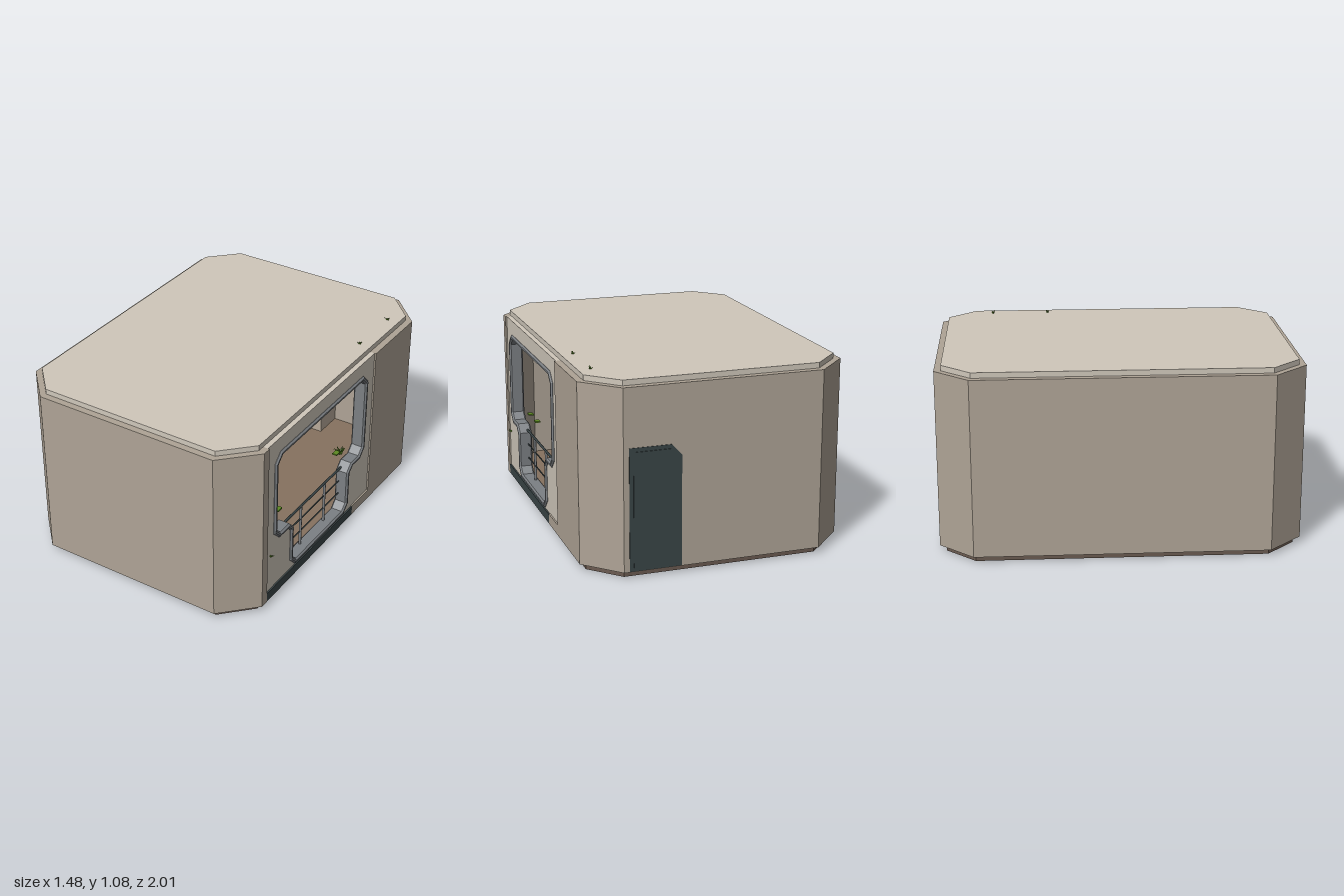
import * as THREE from 'three';
import { RoundedBoxGeometry } from 'three/addons/geometries/RoundedBoxGeometry.js';

const mat = (name, color, side = THREE.FrontSide) => {
  const m = new THREE.MeshStandardMaterial({ color, side });
  m.name = name;
  return m;
};

export function createModel() {
  const M = {
    wall: mat('wall taupe', 0xafa496),
    pale: mat('pale panel', 0xd0c8bb),
    base: mat('base brown', 0x6a5a50),
    frame: mat('frame grey', 0x7c8084),
    dark: mat('dark slate', 0x3a4547),
    floor: mat('floor brown', 0x86725f),
    cloth: mat('cloth beige', 0xb9ab9b),
    leaf: mat('leaf green', 0x5d8a22, THREE.DoubleSide),
    vine: mat('vine green', 0x47600f, THREE.DoubleSide),
  };
  const root = new THREE.Group();
  const add = (name, geo, m, parent = root) => {
    const mesh = new THREE.Mesh(geo, m);
    mesh.name = name;
    parent.add(mesh);
    return mesh;
  };
  const group = (name) => {
    const g = new THREE.Group();
    g.name = name;
    root.add(g);
    return g;
  };
  // Box from its limits: x, y, z pairs
  const box = (name, m, [x0, x1], [y0, y1], [z0, z1], parent, r = 0) => {
    const s = [x1 - x0, y1 - y0, z1 - z0];
    const geo = r ? new RoundedBoxGeometry(...s, 2, r) : new THREE.BoxGeometry(...s);
    geo.translate((x0 + x1) / 2, (y0 + y1) / 2, (z0 + z1) / 2);
    return add(name, geo, m, parent);
  };
  const cyl = (name, m, r0, r1, x, y0, y1, z, parent, n = 12) =>
    add(name, new THREE.CylinderGeometry(r1, r0, y1 - y0, n).translate(x, (y0 + y1) / 2, z), m, parent);
  const bar = (name, m, a, b, r, parent) =>
    add(name, new THREE.TubeGeometry(new THREE.LineCurve3(new THREE.Vector3(...a), new THREE.Vector3(...b)), 1, r, 6), m, parent);
  const shape = (pts) => new THREE.Shape(pts.map((p) => new THREE.Vector2(...p)));
  // Upright prism from a plan outline of [x, z]
  const prism = (name, m, pts, y0, y1) => {
    const g = new THREE.ExtrudeGeometry(shape(pts.map(([x, z]) => [x, -z])), { depth: y1 - y0, bevelEnabled: false });
    return add(name, g.rotateX(-Math.PI / 2).translate(0, y0, 0), m);
  };
  // Sideways prism from an elevation outline of [z, y], with one hole
  const sidePrism = (name, m, pts, hole, x0, x1, bevel = 0) => {
    const flip = (list) => list.map(([z, y]) => [-z, y]);
    const s = shape(flip(pts));
    s.holes.push(shape(flip(hole)));
    const g = new THREE.ExtrudeGeometry(s, {
      depth: x1 - x0, bevelEnabled: bevel > 0, bevelThickness: bevel, bevelSize: bevel, bevelOffset: -bevel, bevelSegments: 1,
    });
    return add(name, g.rotateY(Math.PI / 2).translate(x0, 0, 0), m);
  };
  const octagon = (d, cx, cz) => {
    const a = 0.725 - d, b = -0.745 + d, z = 1 - d;
    return [[a, cz], [cx, z], [cx - 0.02 - 2 * (cx - 0), z], [b, cz], [b, -cz], [-cx - 0.02, -z], [cx, -z], [a, -cz]];
  };

  // Outer shell
  prism('base', M.base, octagon(0.036, 0.53, 0.8), 0, 0.037);
  prism('floor', M.floor, octagon(0.06, 0.51, 0.79), 0.037, 0.1);
  prism('ceiling', M.wall, octagon(0.06, 0.51, 0.79), 0.96, 1.029);
  prism('roof', M.pale, octagon(0.038, 0.53, 0.8), 1.029, 1.06);
  const ring = (d, cx, cz) => [
    [0.725 - d, 0.76], [0.725 - d, cz], [cx, 1 - d], [-cx - 0.02, 1 - d], [-0.745 + d, cz],
    [-0.745 + d, -cz], [-cx - 0.02, -1 + d], [cx, -1 + d], [0.725 - d, -cz], [0.725 - d, -0.37]];
  prism('outerWall', M.wall, [...ring(0, 0.54, 0.81), ...ring(0.055, 0.515, 0.79).reverse()], 0.036, 1.03);

  // Stepped window opening; d shrinks it inwards
  const opening = (d) => {
    const l = 0.69 - d, r = -0.3 + d, t = 0.945 - d, m = 0.39 + d;
    const ll = 0.515 - d, lr = -0.13 + d, b = 0.098 + d;
    const c = 0.055 - 0.59 * d, k = 0.03 + 0.59 * d;
    return [
      [l - c, t], [l, t - c], [l, m + c], [l - c, m], [ll + k, m], [ll, m - k], [ll, b + c], [ll - c, b],
      [lr + c, b], [lr, b + c], [lr, m - k], [lr - k, m], [r + c, m], [r, m + c], [r, t - c], [r + c, t]];
  };
  sidePrism('windowPanel', M.pale, [[0.76, 0.037], [0.76, 1.03], [-0.37, 1.03], [-0.37, 0.037]], opening(0.012), 0.665, 0.716);
  sidePrism('windowFrame', M.frame, opening(0), opening(0.028), 0.655, 0.718, 0.009);
  box('darkSill', M.dark, [0.68, 0.725], [0.037, 0.092], [-0.18, 0.76]);
  box('sillBlock', M.wall, [0.68, 0.725], [0.037, 0.096], [-0.37, -0.18]);

  // Rear door
  const door = (name, m, d, z) => {
    const g = new THREE.ExtrudeGeometry(
      shape([[0.51 - d, 0.04 + d], [0.51 - d, 0.71 - d], [0.28, 0.71 - d], [0.225 + d, 0.65 - d / 2], [0.225 + d, 0.04 + d]]),
      { depth: 0.02, bevelEnabled: false });
    add(name, g.translate(0, 0, z), m);
  };
  door('doorFrame', M.dark, 0, -1.003);
  door('doorLeaf', M.dark, 0.022, -1.007);

  // Railing across the low part of the opening
  const railing = group('railing');
  for (const [y, r] of [[0.385, 0.007], [0.3, 0.004], [0.215, 0.004]])
    bar('rail', M.dark, [0.67, y, 0.5], [0.67, y, -0.12], r, railing);
  for (const z of [0.325, 0.065]) cyl('railPost', M.frame, 0.008, 0.008, 0.67, 0.1, 0.385, z, railing, 8);

  // Ceiling seams and lamp
  for (const z of [-0.6, -0.3, 0, 0.3, 0.6]) box('ceilingSeam', M.dark, [-0.68, 0.66], [0.957, 0.961], [z - 0.003, z + 0.003]);
  for (const x of [-0.4, -0.1, 0.2, 0.5]) box('ceilingSeam', M.dark, [x - 0.003, x + 0.003], [0.957, 0.961], [-0.93, 0.93]);
  box('ceilingLampRim', M.dark, [0.1, 0.22], [0.952, 0.96], [0.05, 0.25]);
  box('ceilingLamp', M.pale, [0.115, 0.205], [0.949, 0.955], [0.065, 0.235]);

  // Wall shelves with storage boxes and books
  const shelves = group('shelves');
  for (const y of [0.41, 0.56, 0.71, 0.86]) box('shelf', M.wall, [-0.69, -0.54], [y - 0.008, y], [-0.02, 0.31], shelves);
  for (const z of [-0.025, 0.31]) box('shelfSide', M.wall, [-0.69, -0.54], [0.4, 0.86], [z - 0.004, z + 0.004], shelves);
  for (const [y, z] of [[0.71, 0.235], [0.71, 0.13], [0.41, 0.228], [0.41, 0.118]]) {
    box('storageBox', M.cloth, [-0.67, -0.53], [y, y + 0.063], [z - 0.047, z + 0.047], shelves);
    box('boxHandle', M.dark, [-0.53, -0.525], [y + 0.042, y + 0.052], [z - 0.016, z + 0.016], shelves);
  }
  for (let i = 0; i < 4; i++)
    box('book', i % 2 ? M.pale : M.frame, [-0.67, -0.56], [0.41, 0.53 - (i % 2) * 0.012], [0.07 + i * 0.024, 0.09 + i * 0.024], shelves);
  box('bookBox', M.frame, [-0.67, -0.58], [0.46, 0.53], [0, 0.06], shelves);

  // Leaf clusters: fanned, flattened diamonds
  const plant = (x, y, z, n, size, parent = root) => {
    const g = new THREE.Group();
    g.name = 'leafCluster';
    parent.add(g);
    g.position.set(x, y, z);
    for (let i = 0; i < n; i++) {
      const leaf = add('leaf', new THREE.ConeGeometry(0.3, 1, 4).scale(size, size, size * 0.25).translate(0, size * 0.55, 0), M.leaf, g);
      leaf.rotation.set(0.4 + 0.8 * ((i * 0.37) % 1), i * 2.4, 0, 'YXZ');
    }
    return g;
  };
  cyl('shelfPot', M.frame, 0.016, 0.021, -0.58, 0.56, 0.605, 0.03, shelves);
  plant(-0.58, 0.6, 0.03, 14, 0.085, shelves);
  plant(0.62, 0.415, -0.2, 12, 0.045);
  plant(0.62, 1.058, -0.7, 4, 0.022);
  plant(0.62, 1.058, -0.37, 4, 0.022);
  plant(0.718, 0.315, 0.72, 4, 0.022).rotation.z = -0.7;
  for (const z of [0.64, 0.48, -0.16]) box('sillMoss', M.leaf, [0.6, 0.63], [0.436, 0.444], [z - 0.02, z + 0.02]);

  // Hanging planter with trailing vines
  const hanging = group('hangingPlanter');
  box('planter', M.dark, [-0.35, -0.25], [0.815, 0.86], [0.23, 0.39], hanging);
  for (const z of [0.25, 0.37]) bar('planterCord', M.dark, [-0.3, 0.86, z], [-0.3, 0.96, z], 0.003, hanging);
  for (let i = 0; i < 4; i++) {
    const v = add('vine', new THREE.ConeGeometry(0.012, 0.38 - (i % 2) * 0.06, 4), M.vine, hanging);
    v.rotation.x = Math.PI;
    v.position.set(-0.26 + (i % 2) * 0.02, 0.64 + (i % 2) * 0.03, 0.295 + i * 0.01);
  }

  // Pedestal table
  const table = group('table');
  cyl('tableTop', M.dark, 0.055, 0.055, 0.25, 0.245, 0.255, 0.17, table, 20);
  cyl('tableStem', M.frame, 0.012, 0.012, 0.25, 0.1, 0.245, 0.17, table);
  cyl('tableFoot', M.dark, 0.045, 0.04, 0.25, 0.1, 0.112, 0.17, table, 20);
  box('stool', M.frame, [0.02, 0.14], [0.17, 0.2], [0.09, 0.25], table, 0.012);
  cyl('stoolStem', M.dark, 0.015, 0.015, 0.08, 0.1, 0.17, 0.17, table);

  // Folding side desk with a small plant
  const desk = group('sideDesk');
  box('deskTop', M.floor, [0.3, 0.5], [0.262, 0.274], [0.32, 0.5], desk);
  for (const x of [0.32, 0.48]) {
    bar('deskLeg', M.dark, [x, 0.1, 0.33], [x, 0.262, 0.33], 0.007, desk);
    bar('deskBrace', M.dark, [x, 0.1, 0.38], [x, 0.262, 0.49], 0.007, desk);
  }
  plant(0.4, 0.272, 0.43, 7, 0.06, desk);

  // Sofa with a buttoned back
  const sofa = group('sofa');
  box('sofaSeat', M.cloth, [-0.2, 0.04], [0.1, 0.2], [-0.72, -0.28], sofa, 0.02);
  box('sofaBack', M.cloth, [-0.26, -0.16], [0.1, 0.4], [-0.72, -0.28], sofa, 0.035);
  for (let i = 0; i < 8; i++)
    add('button', new THREE.SphereGeometry(0.008, 8, 6), M.floor, sofa)
      .position.set(-0.16, i < 4 ? 0.26 : 0.33, -0.66 + (i % 4) * 0.105);

  // Counter along the rear wall with jars on top
  const counter = group('counter');
  box('counterBody', M.cloth, [-0.2, 0.18], [0.1, 0.37], [-0.94, -0.76], counter);
  box('counterTop', M.pale, [-0.21, 0.19], [0.37, 0.385], [-0.94, -0.75], counter);
  for (const x of [-0.1, 0.08]) for (const y of [0.15, 0.24, 0.32])
    box('drawerHandle', M.dark, [x - 0.03, x + 0.03], [y, y + 0.008], [-0.76, -0.755], counter);
  [-0.12, -0.03, 0.06, 0.13].forEach((x, i) =>
    cyl('jar', i % 2 ? M.dark : M.pale, 0.02, 0.016, x, 0.385, 0.42 + (i % 2) * 0.02, -0.84, counter));

  return root;
}
